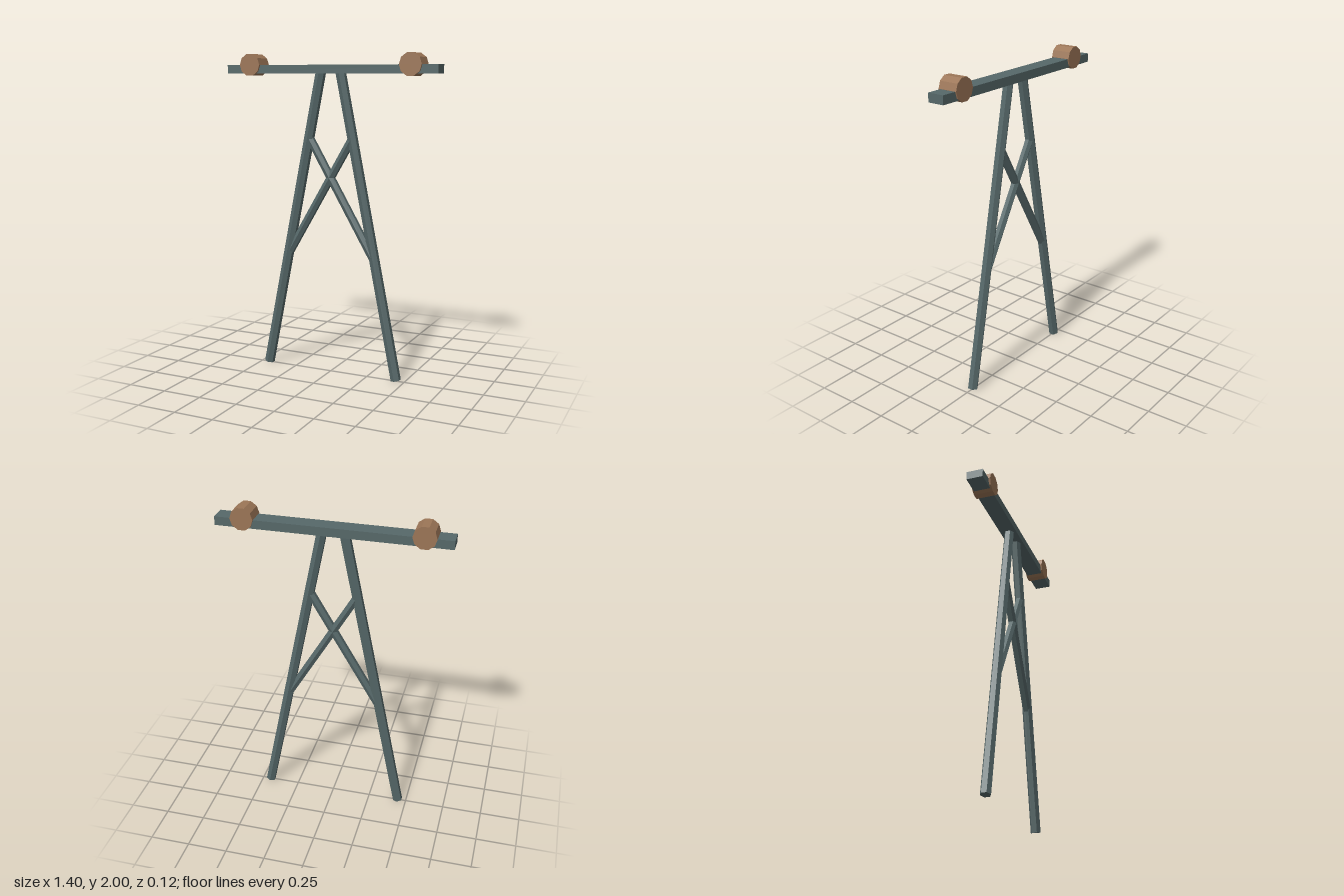
import * as THREE from 'three';

export function createModel() {
  const model = new THREE.Group();
  model.name = 'utilityPole';

  const steel = new THREE.MeshStandardMaterial({ color: 0x566869, flatShading: true });
  steel.name = 'greySteel';
  const clay = new THREE.MeshStandardMaterial({ color: 0x9c7657, flatShading: true });
  clay.name = 'brownInsulator';

  function add(name, geometry, material) {
    const mesh = new THREE.Mesh(geometry, material);
    mesh.name = name;
    model.add(mesh);
    return mesh;
  }

  // Six-sided bar between two points in the z = 0 plane
  function bar(name, x0, y0, x1, y1, radius) {
    const from = new THREE.Vector3(x0, y0, 0);
    const to = new THREE.Vector3(x1, y1, 0);
    const mesh = add(name, new THREE.CylinderGeometry(radius, radius, from.distanceTo(to), 6), steel);
    mesh.position.copy(from).lerp(to, 0.5);
    mesh.rotation.z = -Math.atan2(x1 - x0, y1 - y0);
  }

  // Crossbeam
  add('crossbeam', new THREE.BoxGeometry(1.396, 0.053, 0.104), steel)
    .position.set(0, 1.906, -0.002);

  for (const side of [1, -1]) {
    const label = side > 0 ? 'left' : 'right';

    // Splayed leg and the diagonal brace rising to the opposite leg
    bar(label + 'Leg', side * 0.445, 0.006, side * 0.064, 1.9, 0.032);
    bar(label + 'Brace', side * 0.298, 0.738, side * -0.146, 1.493, 0.026);

    // Ten-sided insulator drum with its axis along z
    const drum = new THREE.CylinderGeometry(0.07, 0.07, 0.123, 10, 1, false, Math.PI / 2);
    drum.rotateX(Math.PI / 2);
    add(label + 'Insulator', drum, clay).position.set(side * 0.532, 1.9334, 0);
  }

  return model;
}
